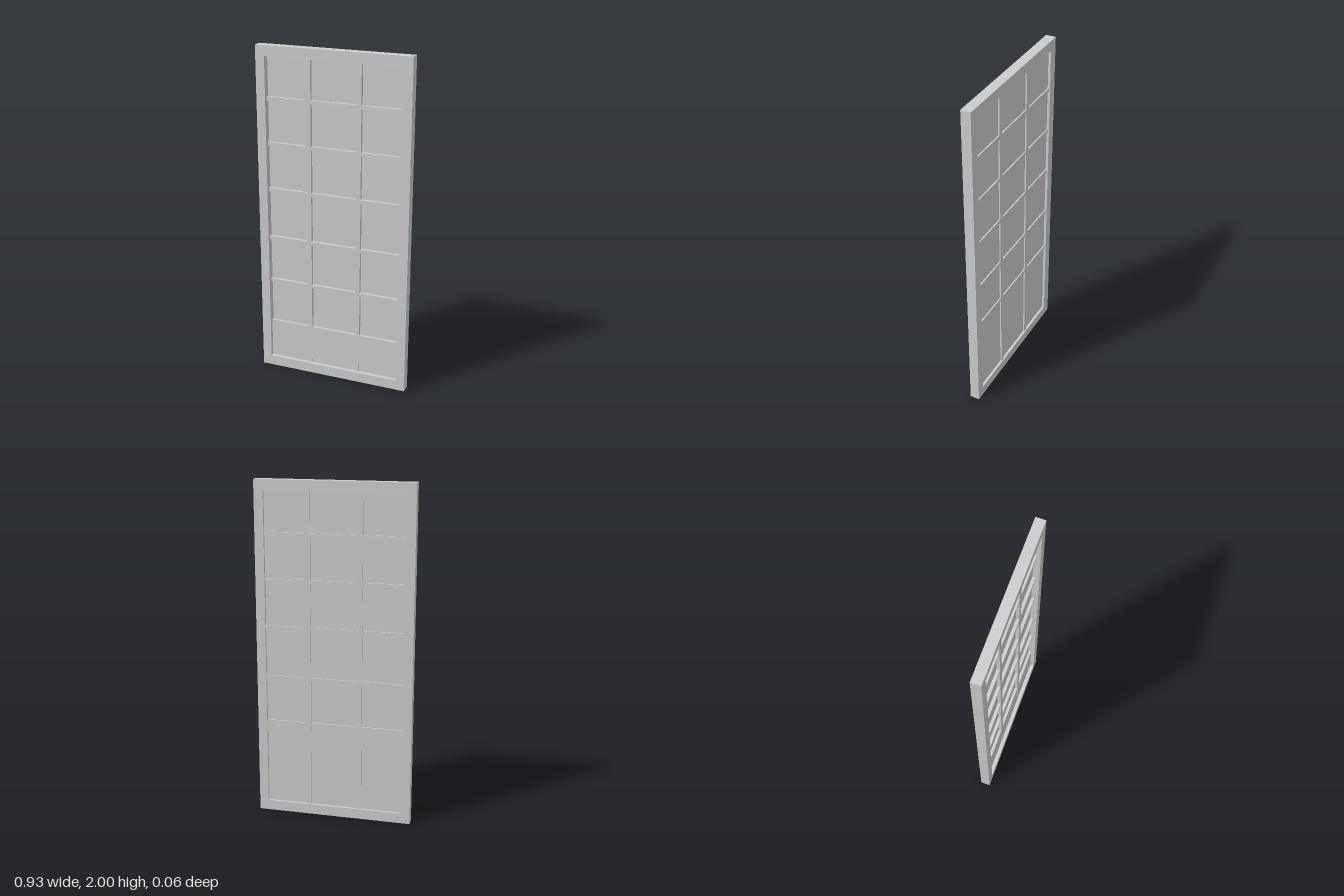
import * as THREE from 'three';

export function createModel() {
  const group = new THREE.Group();
  group.name = 'latticeDoor';
  const material = new THREE.MeshStandardMaterial({ color: 0xcccccc });

  const W = 0.4625, D = 0.029;           // half width and half depth of the frame
  const IW = 0.408, Y0 = 0.061, Y1 = 1.939; // opening
  const BAR_BACK = -0.022, BAR_FRONT = 0.008;

  // Box given by its limits on each axis
  function slab(name, x0, x1, y0, y1, z0, z1) {
    const mesh = new THREE.Mesh(new THREE.BoxGeometry(x1 - x0, y1 - y0, z1 - z0), material);
    mesh.position.set((x0 + x1) / 2, (y0 + y1) / 2, (z0 + z1) / 2);
    mesh.name = name;
    group.add(mesh);
  }

  // Outer frame with a rectangular opening
  const outline = new THREE.Shape([[-W, 0], [W, 0], [W, 2], [-W, 2]].map(p => new THREE.Vector2(...p)));
  outline.holes.push(new THREE.Path([[-IW, Y0], [-IW, Y1], [IW, Y1], [IW, Y0]].map(p => new THREE.Vector2(...p))));
  const frameGeometry = new THREE.ExtrudeGeometry(outline, { depth: 2 * D, bevelEnabled: false });
  frameGeometry.translate(0, 0, -D);
  const frame = new THREE.Mesh(frameGeometry, material);
  frame.name = 'frame';
  group.add(frame);

  // Thin sheet behind the lattice, and the solid panel at the bottom
  slab('paperSheet', -IW, IW, Y0, Y1, -0.014, -0.011);
  slab('lowerPanel', -IW, IW, Y0, 0.3, -0.0125, 0.006);

  // Upright lattice bars
  for (const x of [-0.152, 0.152]) {
    slab('uprightBar', x - 0.014, x + 0.014, Y0, Y1, BAR_BACK, BAR_FRONT);
  }

  // Cross bars, cut between the uprights so the faces lie flush
  const spans = [[-IW, -0.166], [-0.138, 0.138], [0.166, IW]];
  for (const y of [0.569, 0.847, 1.149, 1.427, 1.695]) {
    for (const [a, b] of spans) slab('crossBar', a, b, y - 0.011, y + 0.011, BAR_BACK, BAR_FRONT);
  }
  return group;
}
